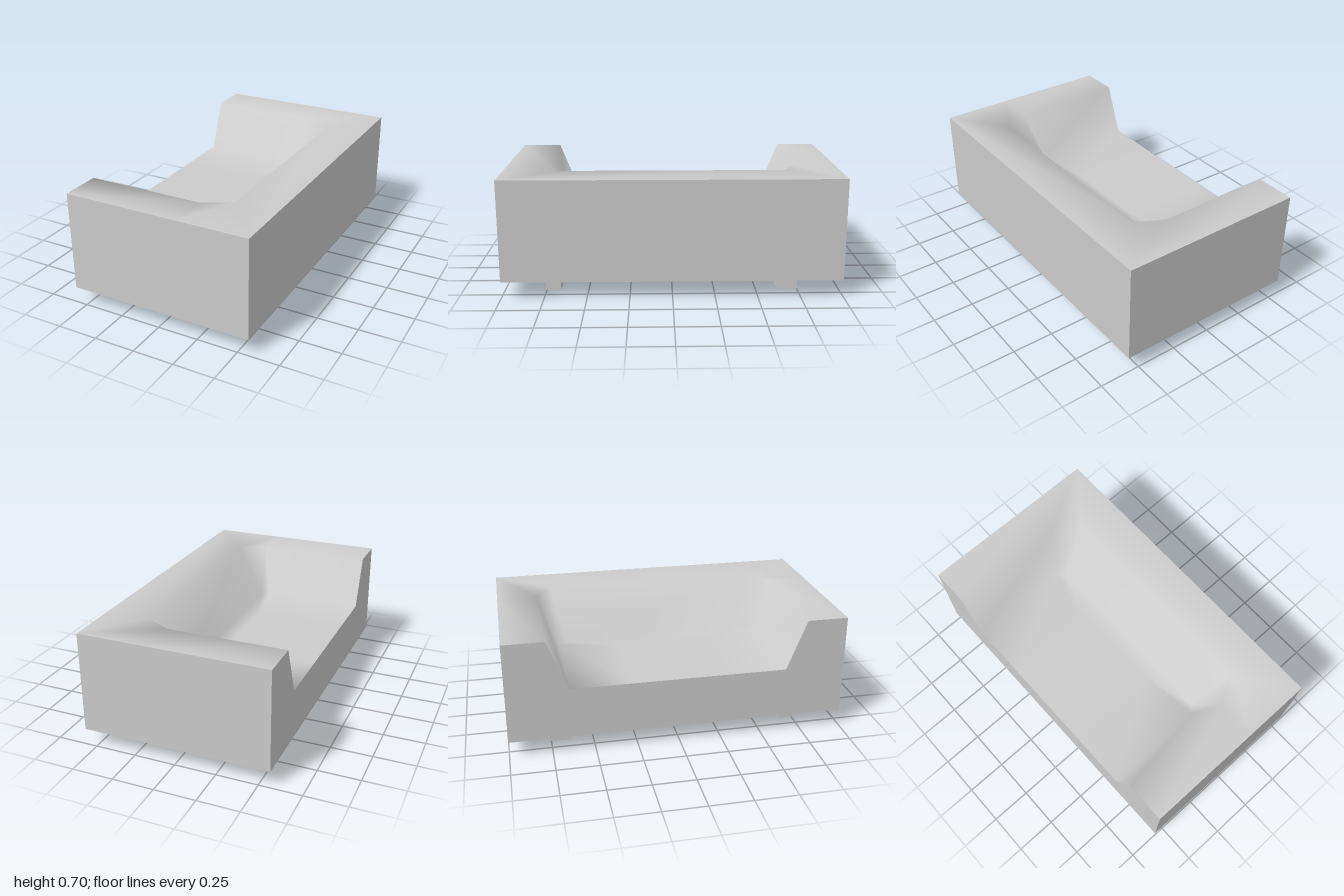
import * as THREE from 'three';

const W = 0.567, D = 1, TOP = 0.705, BASE = 0.1, SEAT = 0.405;
const RIM = 0.757, FLOOR = 0.64;

export function createModel() {
  const model = new THREE.Group();
  const material = new THREE.MeshStandardMaterial({ color: 0xcccccc, side: THREE.DoubleSide });
  const add = (name, geometry, parent = model) => {
    const mesh = new THREE.Mesh(geometry, material);
    mesh.name = name;
    parent.add(mesh);
    return mesh;
  };

  // Arm tops, backrest and seat: half loops [x, z], from the outer edge inwards, mirrored in z
  const loops = [
    { y: TOP, half: [[-W, D], [0.14, D], [W, D]] },
    { y: TOP, half: [[-W, RIM], [0.14, RIM], [0.31, 0.67]] },
    { y: SEAT, half: [[-W, FLOOR], [0.06, FLOOR], [0.1, 0.59]] },
    { y: SEAT, half: [[-W, 0.28], [-0.02, 0.28], [0.0, 0.25]] },
    { y: SEAT, half: [[-W, 0], [-0.02, 0], [0.0, 0]] },
  ];
  const positions = [], index = [];
  loops.forEach(({ y, half }, r) => {
    for (const [x, z] of half) positions.push(x, y, -z);
    for (const [x, z] of [...half].reverse()) positions.push(x, y, z);
    if (r === loops.length - 1) return;
    for (let i = 0; i < 5; i++) {
      const a = r * 6 + i, b = a + 1, c = a + 6, d = c + 1;
      index.push(a, c, b, b, c, d);
    }
  });
  const hollow = new THREE.BufferGeometry();
  hollow.setAttribute('position', new THREE.Float32BufferAttribute(positions, 3));
  hollow.setIndex(index);
  hollow.computeVertexNormals();
  add('seatArmsAndBackrest', hollow);

  // Open side with the notch of the seat
  const profile = new THREE.Shape([
    [-D, BASE], [D, BASE], [D, TOP], [RIM, TOP], [FLOOR, SEAT],
    [-FLOOR, SEAT], [-RIM, TOP], [-D, TOP],
  ].map(([z, y]) => new THREE.Vector2(z, y)));
  const openSide = add('openSide', new THREE.ShapeGeometry(profile));
  openSide.rotation.y = -Math.PI / 2;
  openSide.position.x = -W;

  // Plain outer panels
  const H = TOP - BASE, midY = (TOP + BASE) / 2;
  const panel = (name, w, h, pos, rx, ry) => {
    const mesh = add(name, new THREE.PlaneGeometry(w, h));
    mesh.position.set(...pos);
    mesh.rotation.set(rx, ry, 0);
  };
  panel('frontPanel', 2 * W, H, [0, midY, D], 0, 0);
  panel('backPanel', 2 * W, H, [0, midY, -D], 0, Math.PI);
  panel('closedSide', 2 * D, H, [W, midY, 0], 0, Math.PI / 2);
  panel('underside', 2 * W, 2 * D, [0, BASE, 0], Math.PI / 2, 0);

  // Feet
  for (const side of [-1, 1]) {
    for (const [name, z, depth] of [['frontFoot', 0.71, 0.09], ['backFoot', -0.692, 0.122]]) {
      add(name, new THREE.BoxGeometry(0.143, BASE, depth)).position.set(side * 0.355, BASE / 2, z);
    }
  }
  return model;
}
